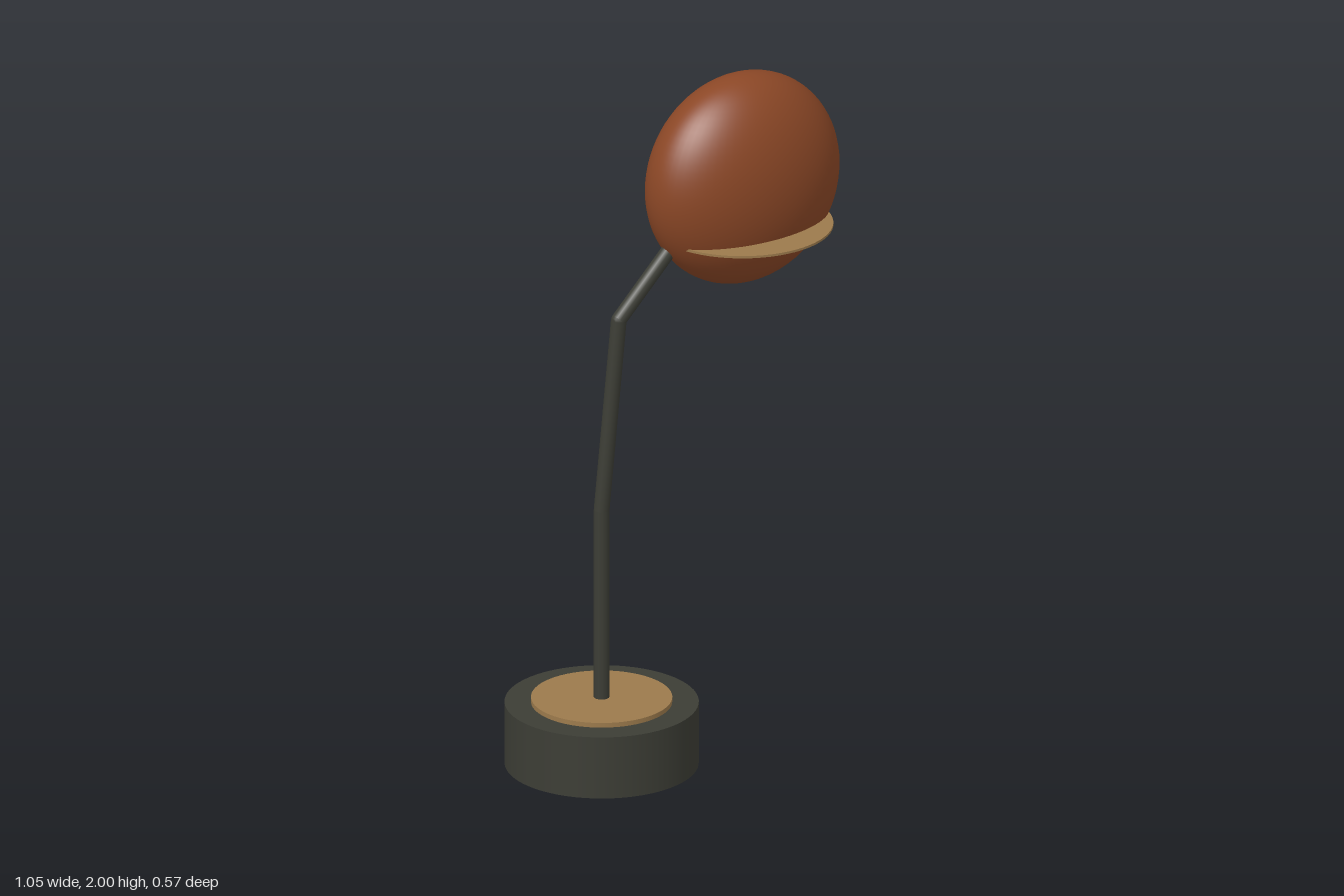
import * as THREE from 'three';

export function createModel() {
  const model = new THREE.Group();
  const material = (name, color) => {
    const m = new THREE.MeshStandardMaterial({ color });
    m.name = name;
    return m;
  };
  const iron = material('dark iron', 0x3c3d35);
  const brass = material('aged brass', 0x9c7a4c);
  const copper = material('copper brown', 0x8b4726);

  const add = (name, geometry, mat, x, y, z) => {
    const mesh = new THREE.Mesh(geometry, mat);
    mesh.name = name;
    mesh.position.set(x, y, z);
    model.add(mesh);
    return mesh;
  };

  // Weighted base with a raised plate
  const baseX = -0.2525, baseZ = -0.0115;
  add('base', new THREE.CylinderGeometry(0.275, 0.275, 0.186, 64), iron, baseX, 0.093, baseZ);
  add('basePlate', new THREE.CylinderGeometry(0.2, 0.2, 0.02, 64), brass, baseX, 0.19, baseZ);

  // Bent stem: straight rods with rounded elbows
  const radius = 0.0225;
  const points = [
    [baseX, 0.19, baseZ],
    [baseX, 0.77, baseZ],
    [-0.206, 1.343, 0.007],
    [0, 1.56, 0.02],
  ].map((p) => new THREE.Vector3(...p));
  const up = new THREE.Vector3(0, 1, 0);
  for (let i = 0; i < points.length - 1; i++) {
    const along = points[i + 1].clone().sub(points[i]);
    const mid = points[i].clone().addScaledVector(along, 0.5);
    const rod = add('stemRod', new THREE.CylinderGeometry(radius, radius, along.length(), 12), iron, mid.x, mid.y, mid.z);
    rod.quaternion.setFromUnitVectors(up, along.normalize());
    if (i > 0) add('elbow', new THREE.SphereGeometry(radius, 12, 8), iron, ...points[i].toArray());
  }

  // Flattened round shade and the thin disc that crosses it
  const headX = 0.2115, headZ = 0.0245;
  const shade = add('shade', new THREE.SphereGeometry(0.3125, 64, 40), copper, headX, 1.6875, headZ);
  shade.scale.z = 0.589;
  add('shadeRim', new THREE.CylinderGeometry(0.258, 0.258, 0.007, 64), brass, headX, 1.545, headZ);

  return model;
}
